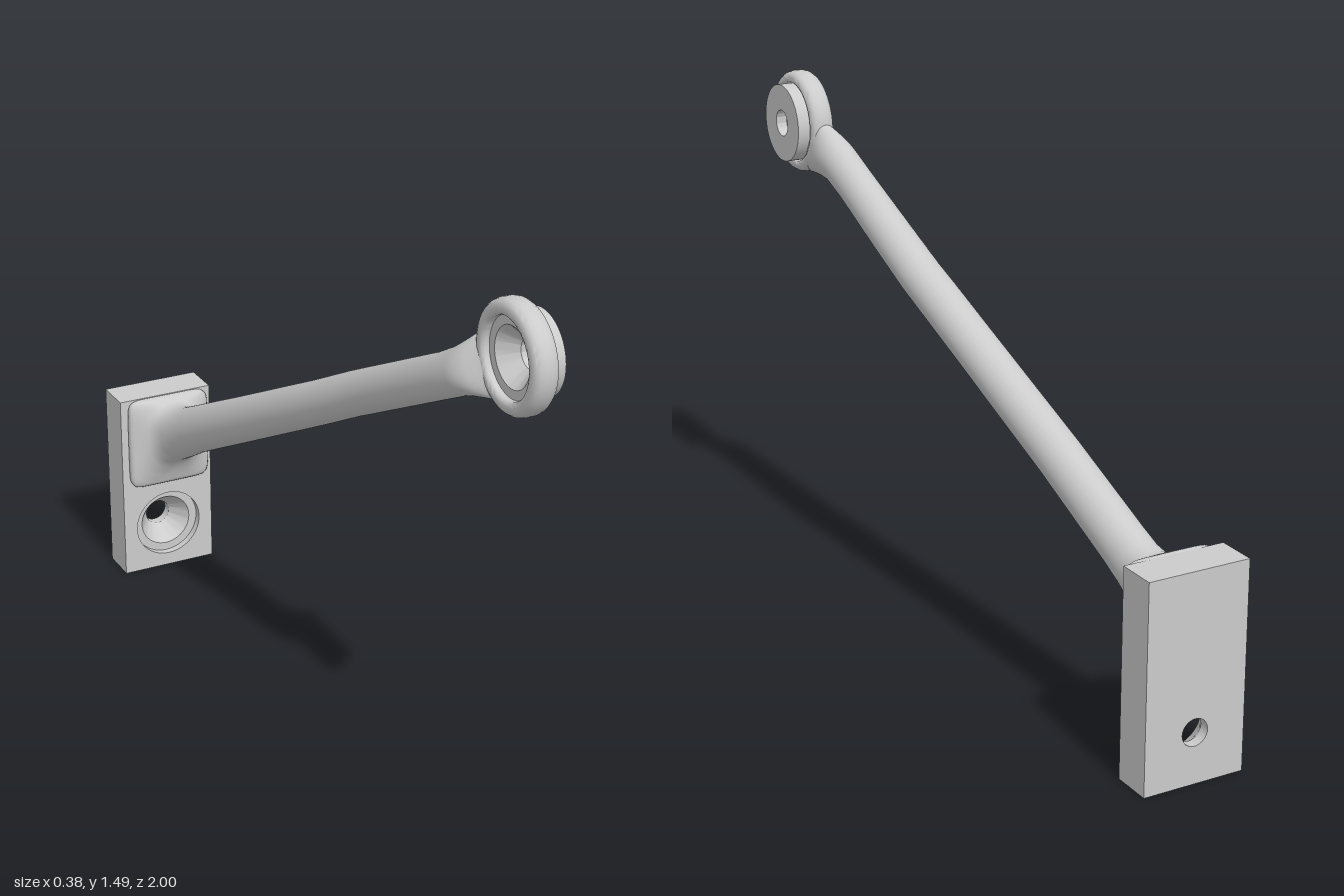
import * as THREE from 'three';
import { toCreasedNormals } from 'three/addons/utils/BufferGeometryUtils.js';

const material = new THREE.MeshStandardMaterial({ color: 0xcccccc });

function addMesh(parent, name, geometry) {
  const mesh = new THREE.Mesh(geometry, material);
  mesh.name = name;
  parent.add(mesh);
  return mesh;
}

// Revolved profile of [radius, height] pairs with crisp corners
function lathe(points, crease = 0.6) {
  const profile = points.map(([r, h]) => new THREE.Vector2(r, h));
  return toCreasedNormals(new THREE.LatheGeometry(profile, 64), crease);
}

// Rectangular slab with one round hole, extruded along +z
function drilledSlab(w, h, depth, hx, hy, r) {
  const shape = new THREE.Shape();
  shape.moveTo(-w / 2, 0).lineTo(w / 2, 0).lineTo(w / 2, h).lineTo(-w / 2, h).closePath();
  const hole = new THREE.Path();
  hole.absarc(hx, hy, r, 0, Math.PI * 2, true);
  shape.holes.push(hole);
  return new THREE.ExtrudeGeometry(shape, { depth, bevelEnabled: false, curveSegments: 64 });
}

// Skin over superellipse sections: [x, y, z, halfWidth, halfHeight, tilt, exponent]
function loft(sections, sides = 64) {
  const positions = [], index = [];
  const bend = (v, e) => Math.sign(v) * Math.abs(v) ** (2 / e);
  sections.forEach(([x, y, z, a, b, tilt, e], i) => {
    for (let j = 0; j < sides; j++) {
      const t = (j / sides) * Math.PI * 2;
      const u = a * bend(Math.cos(t), e), v = b * bend(Math.sin(t), e);
      positions.push(x + u, y + v * Math.cos(tilt), z - v * Math.sin(tilt));
      if (i === 0) continue;
      const k = (j + 1) % sides, p = (i - 1) * sides, q = i * sides;
      index.push(p + j, p + k, q + k, p + j, q + k, q + j);
    }
  });
  const geometry = new THREE.BufferGeometry();
  geometry.setAttribute('position', new THREE.Float32BufferAttribute(positions, 3));
  geometry.setIndex(index);
  geometry.computeVertexNormals();
  return geometry;
}

export function createModel() {
  const model = new THREE.Group();
  model.name = 'supportArm';

  // Wall plate: wide bore in the front layer, small bore in the back layer
  const plate = new THREE.Group();
  plate.name = 'wallPlate';
  plate.position.set(-0.043, 0, -1);
  model.add(plate);
  addMesh(plate, 'plateBack', drilledSlab(0.295, 0.585, 0.03, 0, 0.145, 0.038));
  addMesh(plate, 'plateFront', drilledSlab(0.295, 0.585, 0.085, 0, 0.145, 0.105)).position.z = 0.03;

  // Stepped, countersunk screw seat
  const seat = addMesh(plate, 'screwSeat',
    lathe([[0.105, 0.115], [0.105, 0.092], [0.08, 0.092], [0.038, 0.03]]));
  seat.rotation.x = Math.PI / 2;
  seat.position.y = 0.145;
  // The turned seat keeps its height along +z, the open side to the front

  // Arm: square foot pad flaring into a round rod, flattened at the eye
  const tilt = 0.48;
  addMesh(model, 'arm', loft([
    [-0.04, 0.44, -0.886, 0.127, 0.142, 0, 9],
    [-0.04, 0.44, -0.88, 0.13, 0.145, 0, 9],
    [-0.04, 0.44, -0.87, 0.13, 0.145, 0, 9],
    [-0.04, 0.441, -0.863, 0.126, 0.141, 0, 8],
    [-0.04, 0.444, -0.859, 0.118, 0.135, 0, 6],
    [-0.037, 0.455, -0.85, 0.1, 0.121, 0, 4],
    [-0.034, 0.468, -0.839, 0.085, 0.104, 0.05, 3],
    [-0.032, 0.478, -0.826, 0.075, 0.093, 0.12, 2.5],
    [-0.03, 0.487, -0.8, 0.067, 0.083, 0.22, 2.2],
    [-0.027, 0.51, -0.75, 0.064, 0.075, 0.36, 2],
    [-0.022, 0.543, -0.69, 0.063, 0.071, tilt, 2],
    [-0.003, 0.69, -0.4, 0.062, 0.067, tilt, 2],
    [0.036, 0.895, 0, 0.061, 0.063, tilt, 2],
    [0.055, 0.985, 0.17, 0.061, 0.062, tilt, 2],
    [0.062, 1.02, 0.24, 0.06, 0.062, tilt, 2],
    [0.07, 1.1, 0.4, 0.058, 0.061, tilt, 2],
    [0.079, 1.2, 0.6, 0.054, 0.06, tilt, 2],
    [0.086, 1.238, 0.67, 0.054, 0.063, tilt, 2],
    [0.094, 1.254, 0.7, 0.054, 0.069, tilt, 2.1],
    [0.105, 1.266, 0.724, 0.047, 0.077, tilt, 2.3],
    [0.115, 1.275, 0.742, 0.038, 0.085, tilt, 2.5],
    [0.12, 1.282, 0.757, 0.032, 0.085, tilt, 2.5],
  ]));

  // Eye at the upper end, turned so its axis runs along x
  const eye = new THREE.Group();
  eye.name = 'eye';
  eye.rotation.z = -Math.PI / 2;
  eye.position.set(0, 1.338, 0.855);
  model.add(eye);

  // Rounded outer ring
  addMesh(eye, 'eyeRing', lathe([
    [0.105, 0.12], [0.105, 0.094], [0.109, 0.087], [0.118, 0.085], [0.129, 0.086],
    [0.138, 0.09], [0.144, 0.098], [0.147, 0.11], [0.147, 0.13], [0.144, 0.142],
    [0.138, 0.15], [0.129, 0.154], [0.122, 0.155], [0.116, 0.152], [0.114, 0.145], [0.105, 0.12],
  ], 0.9));

  // Drilled hub standing proud on one side and countersunk on the other
  addMesh(eye, 'eyeHub', lathe([
    [0.08, 0.107], [0.112, 0.107], [0.112, 0.187], [0.038, 0.187], [0.038, 0.155], [0.08, 0.107],
  ]));

  return model;
}
